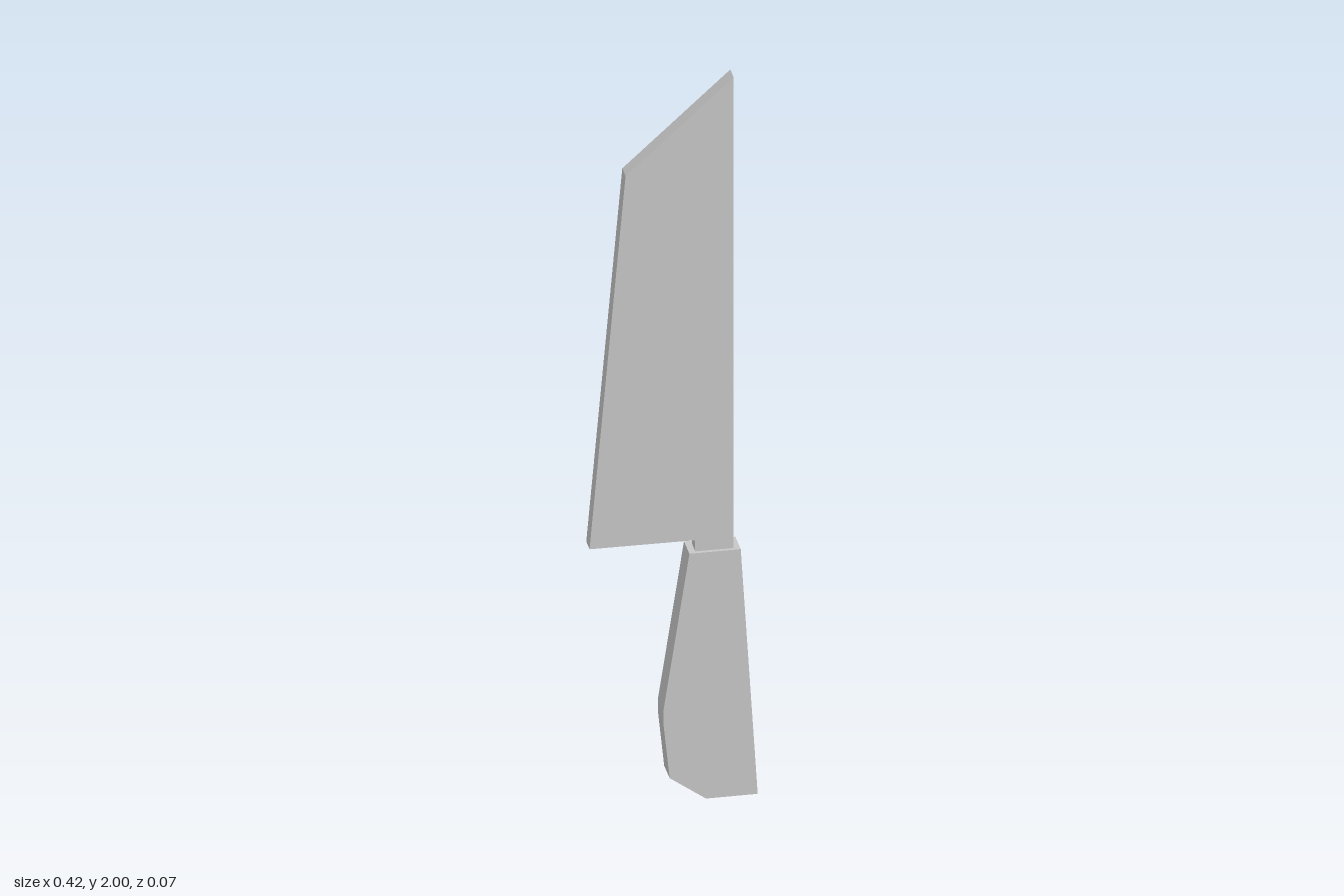
import * as THREE from 'three';

const steelGrey = new THREE.MeshStandardMaterial({ color: 0xc6c6c6 });
steelGrey.name = 'steelGrey';

// Flat slab: an outline in x, y extruded from zBack to zFront
function slab(name, outline, zBack, zFront) {
  const shape = new THREE.Shape(outline.map(([x, y]) => new THREE.Vector2(x, y)));
  const geometry = new THREE.ExtrudeGeometry(shape, { depth: zFront - zBack, bevelEnabled: false });
  geometry.translate(0, 0, zBack);
  const mesh = new THREE.Mesh(geometry, steelGrey);
  mesh.name = name;
  return mesh;
}

export function createModel() {
  const knife = new THREE.Group();
  knife.name = 'knife';

  // Blade with slanted tip, tapering edge and a short neck, set very slightly askew
  const blade = slab('blade', [
    [0.055, 0.68], [0.152, 0.68], [0.152, 2], [-0.121, 1.75],
    [-0.212, 0.718], [0.055, 0.718],
  ], -0.021, 0.023);
  blade.rotation.y = -0.012;
  knife.add(blade);

  // Faceted handle, thicker than the blade
  knife.add(slab('handle', [
    [0.08, 0], [0.211, 0], [0.168, 0.687], [0.038, 0.687],
    [-0.028, 0.255], [-0.028, 0.22], [-0.012, 0.066],
  ], -0.035, 0.034));

  return knife;
}
